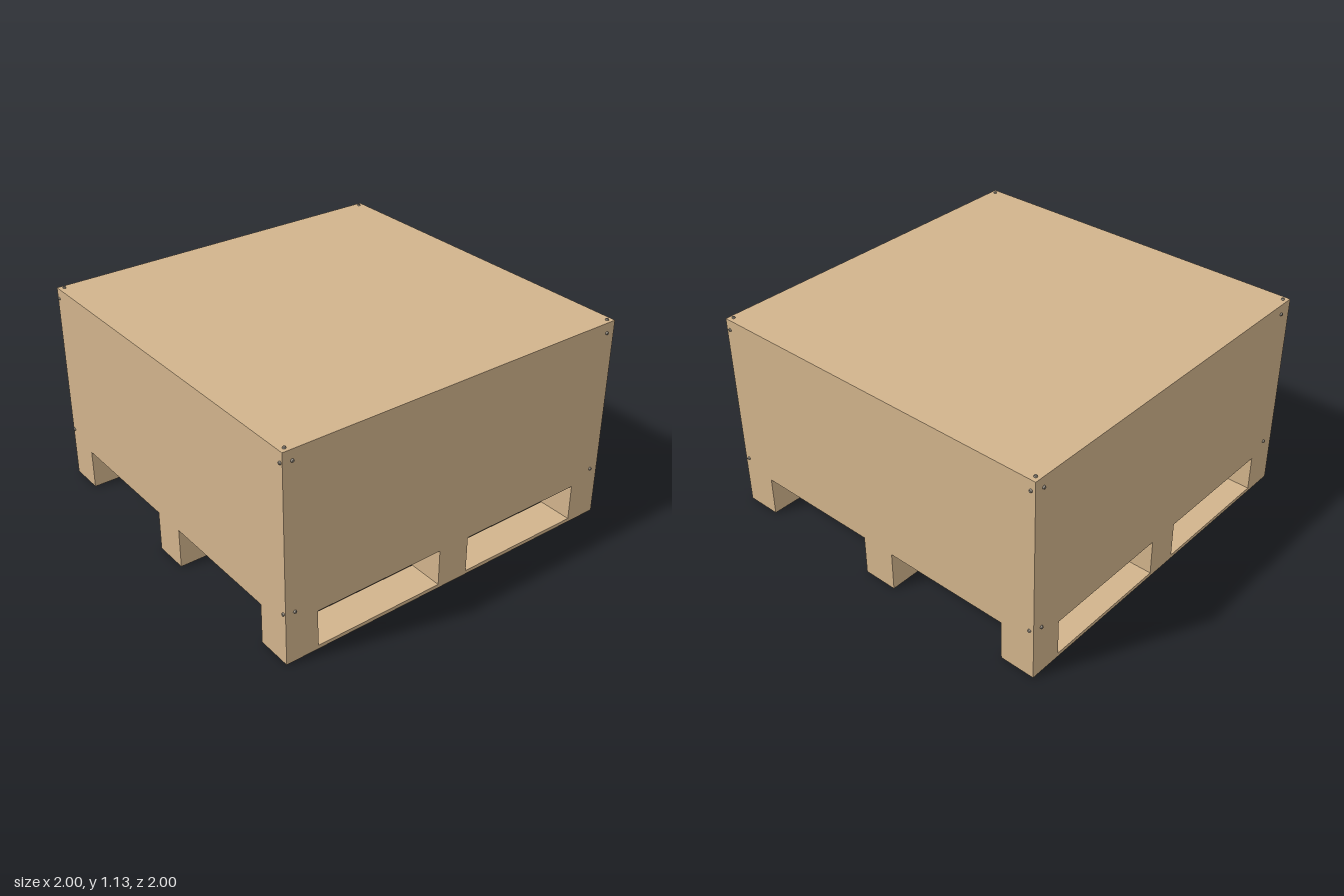
import * as THREE from 'three';

export function createModel() {
  const model = new THREE.Group();
  model.name = 'palletCrate';
  const wood = new THREE.MeshStandardMaterial({ color: 0xd2b48c });
  wood.name = 'tan wood';
  const steel = new THREE.MeshStandardMaterial({ color: 0x8c8478 });
  steel.name = 'nail steel';

  // Box given by its two opposite corners
  const box = (name, x0, x1, y0, y1, z0, z1) => {
    const mesh = new THREE.Mesh(new THREE.BoxGeometry(x1 - x0, y1 - y0, z1 - z0), wood);
    mesh.position.set((x0 + x1) / 2, (y0 + y1) / 2, (z0 + z1) / 2);
    mesh.name = name;
    model.add(mesh);
  };

  const side = 0.992, floor = 0.22, top = 1.12, skid = 0.02;

  // Closed crate
  box('crateBody', -side, side, floor, top, -side, side);

  // Three skids, each with three blocks carrying the crate
  const rows = [[-side, -0.8], [-0.095, 0.095], [0.8, side]];
  const blocks = [[-side, -0.815], [-0.09, 0.09], [0.815, side]];
  for (const [x0, x1] of rows) {
    box('skid', x0, x1, 0, skid, -side, side);
    for (const [z0, z1] of blocks) box('block', x0, x1, skid, floor, z0, z1);
  }

  // Small nail heads near the corners, axis along the face normal
  const nailGeometry = new THREE.CylinderGeometry(0.006, 0.009, 0.008, 12);
  const up = new THREE.Vector3(0, 1, 0);
  const nail = (name, position, normal) => {
    const mesh = new THREE.Mesh(nailGeometry, steel);
    mesh.position.set(...position);
    mesh.quaternion.setFromUnitVectors(up, new THREE.Vector3(...normal));
    mesh.name = name;
    model.add(mesh);
  };
  const out = side + 0.004;
  for (const s of [-1, 1]) {
    for (const y of [0.28, 1.065]) {
      nail('frontNail', [s * 0.977, y, out], [0, 0, 1]);
      nail('backNail', [s * 0.968, y, -out], [0, 0, -1]);
      nail('leftNail', [out, y, s * 0.942], [1, 0, 0]);
      nail('rightNail', [-out, y, s > 0 ? 0.915 : -0.94], [-1, 0, 0]);
    }
    for (const t of [-1, 1]) nail('lidNail', [s * 0.967, top + 0.004, t * 0.963], [0, 1, 0]);
  }
  return model;
}
